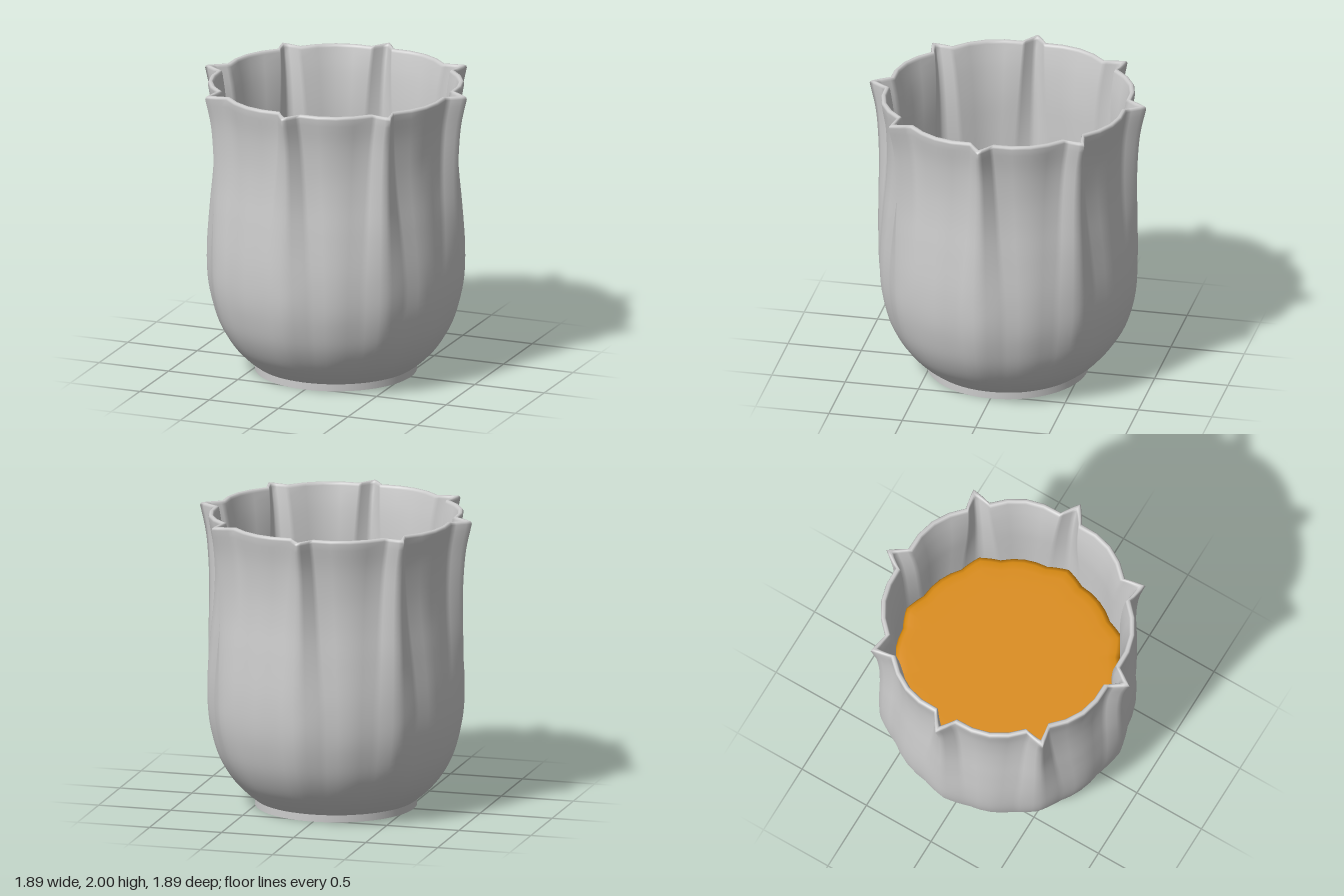
import * as THREE from 'three';

const POINTS = 8, SECTOR = Math.PI * 2 / POINTS;
// Angles across one sector, denser around the pointed rib at its centre
const STEPS = [-1, -0.75, -0.5, -0.25, 0, 0.25, 0.5, 0.75, 1, 1.5, 2, 2.5];

// Fluted ring: straight-sided rib of half width w, with a gently bulging panel between ribs
function ring({ y, tip, notch, w, bulge }) {
  const points = [];
  for (let p = 0; p < POINTS; p++) {
    for (const s of STEPS) {
      let a, r;
      if (Math.abs(s) <= 1) {
        a = s * w;
        const t = Math.abs(s);
        r = tip + (notch - tip) * t;
      } else {
        const t = (s - 1) / 2;
        a = w + (SECTOR - 2 * w) * t;
        r = notch + bulge * Math.sin(Math.PI * t);
      }
      a += p * SECTOR;
      points.push(new THREE.Vector3(r * Math.sin(a), y, r * Math.cos(a)));
    }
  }
  return points;
}

// Smooth skin through a list of rings
function skin(rows) {
  const rings = rows.map(ring), n = rings[0].length, index = [];
  for (let i = 0; i < rings.length - 1; i++) {
    for (let j = 0; j < n; j++) {
      const k = (j + 1) % n;
      const a = i * n + j, b = i * n + k, c = a + n, d = b + n;
      index.push(a, b, d, a, d, c);
    }
  }
  const g = new THREE.BufferGeometry().setFromPoints(rings.flat());
  g.setIndex(index);
  g.computeVertexNormals();
  return g;
}

// Ribs are narrow at the rim and spread as they go down
const ribWidth = y => THREE.MathUtils.degToRad(THREE.MathUtils.mapLinear(THREE.MathUtils.clamp(y, 0.8, 2), 0.8, 2, 12, 5.5));
const panelBulge = y => 0.012 + 0.014 * THREE.MathUtils.smoothstep(y, 1.5, 2);

// Profile entries are [tip radius, y, notch radius]
function rowsAlong(profile, count) {
  const curve = new THREE.CatmullRomCurve3(profile.map(p => new THREE.Vector3(...p)));
  return curve.getSpacedPoints(count).map(p => ({
    tip: p.x, y: p.y, notch: p.z, w: ribWidth(p.y), bulge: panelBulge(p.y) * Math.min(1, p.y / 0.6),
  }));
}

export function createModel() {
  const group = new THREE.Group();
  const ceramic = new THREE.MeshStandardMaterial({ color: 0xcccccc });
  ceramic.name = 'pale grey ceramic';
  const waxColour = new THREE.MeshStandardMaterial({ color: 0xdb8c10 });
  waxColour.name = 'orange wax';

  const add = (name, geometry, material) => {
    const mesh = new THREE.Mesh(geometry, material);
    mesh.name = name;
    group.add(mesh);
    return mesh;
  };

  // Cup wall: outside up to the rim, over it, and down the inside
  const outer = rowsAlong([
    [0.535, 0.045, 0.535], [0.6, 0.095, 0.598], [0.7, 0.2, 0.695], [0.79, 0.345, 0.775],
    [0.845, 0.5, 0.82], [0.874, 0.65, 0.843], [0.884, 0.85, 0.848], [0.884, 1.15, 0.828],
    [0.88, 1.4, 0.805], [0.885, 1.6, 0.797], [0.903, 1.8, 0.803], [0.943, 1.98, 0.828],
  ], 44);
  const inner = rowsAlong([
    [0.888, 1.98, 0.79], [0.858, 1.85, 0.768], [0.828, 1.65, 0.752], [0.808, 1.4, 0.748],
    [0.795, 1.2, 0.748], [0.785, 1.0, 0.748],
  ], 18);
  const rim = [[0.94, 1.992, 0.825], [0.928, 2, 0.818], [0.905, 2, 0.802], [0.893, 1.993, 0.794]]
    .map(([tip, y, notch]) => ({ tip, y, notch, w: ribWidth(y), bulge: panelBulge(y) }));
  add('cupWall', skin([...outer, ...rim, ...inner]), ceramic);

  // Flat foot under the bowl
  const foot = add('foot', new THREE.CylinderGeometry(0.54, 0.54, 0.05, 96), ceramic);
  foot.position.y = 0.025;

  // Wax filling with a softened edge
  const level = 1.1;
  const waxRows = [[1, -0.08], [0.997, -0.035], [0.98, -0.012], [0.95, -0.003], [0.88, 0], [0.7, 0], [0.001, 0]]
    .map(([s, dy]) => ({
      tip: 0.792 * s, notch: 0.75 * s, y: level + dy, w: ribWidth(level), bulge: 0.012 * s,
    }));
  add('waxFilling', skin(waxRows), waxColour);

  return group;
}
